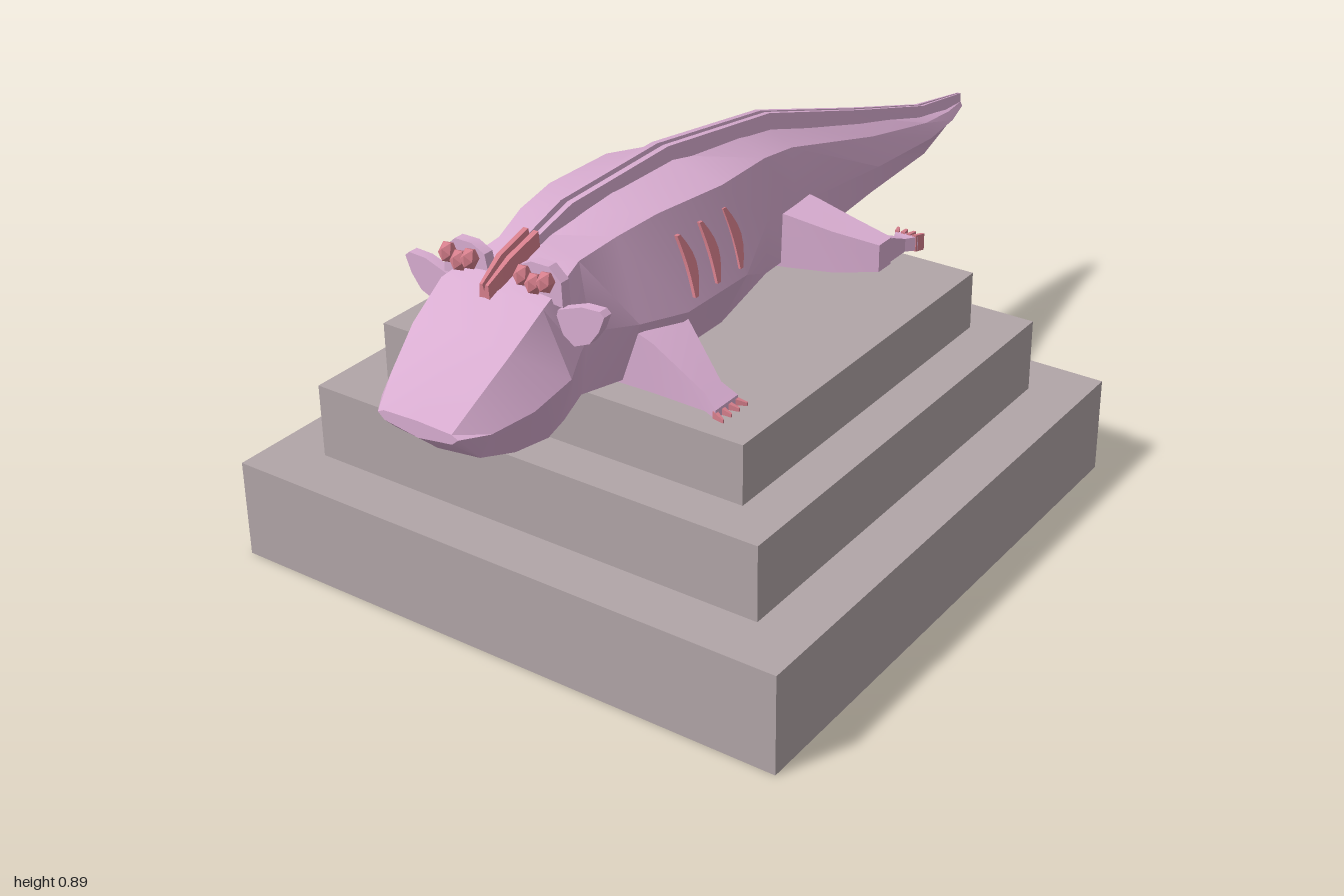
import * as THREE from 'three';
import { toCreasedNormals } from 'three/addons/utils/BufferGeometryUtils.js';

const material = (name, color) => Object.assign(new THREE.MeshStandardMaterial({ color }), { name });

// Closed skin through equal-length rings of [x, y, z] points, always facing outward
function loft(rings, crease = 0.5) {
  const n = rings[0].length;
  const pts = rings.flat().map((p) => new THREE.Vector3(...p));
  const faces = [];
  for (let r = 0; r < rings.length - 1; r++) {
    for (let i = 0; i < n; i++) {
      const a = r * n + i, b = r * n + (i + 1) % n;
      faces.push([a, b, b + n], [a, b + n, a + n]);
    }
  }
  const last = (rings.length - 1) * n;
  [0, last].forEach((start) => {
    const centre = new THREE.Vector3();
    for (let i = 0; i < n; i++) centre.addScaledVector(pts[start + i], 1 / n);
    const c = pts.push(centre) - 1;
    for (let i = 0; i < n; i++) {
      const a = start + i, b = start + (i + 1) % n;
      faces.push(start ? [a, b, c] : [b, a, c]);
    }
  });
  let volume = 0;
  for (const [a, b, c] of faces) volume += pts[a].dot(pts[b].clone().cross(pts[c]));
  const geometry = new THREE.BufferGeometry().setFromPoints(pts);
  geometry.setIndex(faces.flatMap((f) => (volume < 0 ? [f[0], f[2], f[1]] : f)));
  return toCreasedNormals(geometry, crease);
}

// Four-sided rings for limbs
const ringX = (x, y0, y1, z0, z1) => [[x, y0, z0], [x, y1, z0], [x, y1, z1], [x, y0, z1]];
const ringZ = (z, x0, x1, y0, y1) => [[x0, y0, z], [x1, y0, z], [x1, y1, z], [x0, y1, z]];
const mirrorRings = (rings, s) => rings.map((r) => r.map(([x, y, z]) => [x * s, y, z]));

export function createModel() {
  const model = new THREE.Group();
  const stone = material('stone', 0xb1a5a7);
  const pink = material('pink skin', 0xd9add1);
  const red = material('red markings', 0xd67f8c);
  const add = (name, geometry, mat) => {
    const mesh = new THREE.Mesh(geometry, mat);
    mesh.name = name;
    model.add(mesh);
    return mesh;
  };

  // Stepped plinth: half width, bottom, top
  [[0.66, 0, 0.22], [0.54, 0.22, 0.385], [0.44, 0.385, 0.515]].forEach(([w, y0, y1], i) => {
    add(`plinthStep${i + 1}`, new THREE.BoxGeometry(2 * w, y1 - y0, 2 * w), stone)
      .position.set(0, (y0 + y1) / 2, 0.17);
  });

  // Head, trunk and tail: z, top, shoulder x/y, side x/y, belly half width, bottom
  const sections = [
    [1.0, 0.61, 0.08, 0.607, 0.095, 0.6, 0.08, 0.575],
    [0.95, 0.67, 0.1, 0.66, 0.13, 0.6, 0.1, 0.53],
    [0.87, 0.735, 0.115, 0.72, 0.165, 0.62, 0.115, 0.508],
    [0.78, 0.785, 0.12, 0.775, 0.18, 0.65, 0.12, 0.497],
    [0.72, 0.815, 0.11, 0.79, 0.155, 0.67, 0.11, 0.503],
    [0.64, 0.84, 0.095, 0.81, 0.118, 0.67, 0.09, 0.515],
    [0.55, 0.852, 0.115, 0.83, 0.165, 0.66, 0.12, 0.515],
    [0.44, 0.86, 0.13, 0.84, 0.2, 0.65, 0.14, 0.515],
    [0.24, 0.86, 0.142, 0.83, 0.202, 0.65, 0.14, 0.515],
    [0, 0.83, 0.085, 0.79, 0.093, 0.65, 0.09, 0.515],
    [-0.12, 0.81, 0.075, 0.77, 0.088, 0.64, 0.085, 0.515],
    [-0.5, 0.695, 0.05, 0.66, 0.068, 0.59, 0.05, 0.51],
    [-0.78, 0.61, 0.032, 0.595, 0.048, 0.56, 0.03, 0.504],
    [-0.92, 0.58, 0.016, 0.575, 0.028, 0.555, 0.015, 0.53],
    [-1, 0.575, 0.005, 0.572, 0.01, 0.562, 0.005, 0.55],
  ];
  add('body', loft(sections.map(([z, top, sx, sy, wx, wy, bx, bot]) => [
    [0, top, z], [sx, sy, z], [wx, wy, z], [bx, bot + 0.012, z],
    [0, bot, z], [-bx, bot + 0.012, z], [-wx, wy, z], [-sx, sy, z],
  ])), pink);

  // Twin-edged crest along the back: z, base, top, half width
  const crest = (rows) => loft(rows.map(([z, y0, y1, w]) => [
    [-w * 1.3, y0, z], [-w, y1, z], [-w * 0.35, y1, z], [0, y0 + (y1 - y0) * 0.5, z],
    [w * 0.35, y1, z], [w, y1, z], [w * 1.3, y0, z],
  ]), 0.3);
  add('backCrest', crest([
    [0.7, 0.79, 0.835, 0.015], [0.56, 0.82, 0.878, 0.02], [0.25, 0.83, 0.887, 0.02],
    [-0.12, 0.78, 0.835, 0.018], [-0.5, 0.665, 0.716, 0.014], [-0.8, 0.58, 0.627, 0.01],
    [-1, 0.56, 0.594, 0.004],
  ]), pink);
  add('crestFront', crest([
    [0.8, 0.765, 0.8, 0.01], [0.74, 0.78, 0.835, 0.017], [0.66, 0.79, 0.858, 0.018],
  ]), red);

  for (const s of [1, -1]) {
    const side = s > 0 ? 'left' : 'right';

    // Front leg and toes
    add(`${side}FrontLeg`, loft(mirrorRings([
      ringX(0.1, 0.52, 0.66, 0.42, 0.55), ringX(0.19, 0.518, 0.625, 0.425, 0.545),
      ringX(0.31, 0.516, 0.555, 0.49, 0.545), ringX(0.345, 0.516, 0.535, 0.485, 0.56),
    ], s)), pink);
    for (let i = 0; i < 4; i++) {
      const z = 0.491 + i * 0.021;
      add(`${side}FrontToe${i + 1}`, loft(mirrorRings([
        ringX(0.338, 0.516, 0.531, z - 0.006, z + 0.006),
        ringX(0.365, 0.516, 0.523, z - 0.002 + (i - 1.5) * 0.006, z + 0.002 + (i - 1.5) * 0.006),
      ], s)), red);
    }

    // Hind thigh, shin and toes
    add(`${side}HindThigh`, loft(mirrorRings([
      ringX(0.04, 0.518, 0.65, -0.18, -0.05), ringX(0.1, 0.518, 0.64, -0.18, -0.065),
      ringX(0.2, 0.525, 0.62, -0.172, -0.085), ringX(0.298, 0.54, 0.602, -0.165, -0.115),
    ], s)), pink);
    add(`${side}HindShin`, loft(mirrorRings([
      ringZ(-0.13, 0.25, 0.298, 0.545, 0.602), ringZ(-0.17, 0.262, 0.298, 0.545, 0.598),
      ringZ(-0.23, 0.267, 0.295, 0.542, 0.572), ringZ(-0.255, 0.257, 0.312, 0.54, 0.572),
    ], s)), pink);
    for (let i = 0; i < 4; i++) {
      const x = 0.263 + i * 0.014, tip = x + (i - 1.5) * 0.006;
      add(`${side}HindToe${i + 1}`, loft(mirrorRings([
        ringZ(-0.25, x - 0.005, x + 0.005, 0.538, 0.576),
        ringZ(-0.273, tip - 0.003, tip + 0.003, 0.536, 0.574),
      ], s)), red);
    }

    // Side gill shaped like an ear
    const outline = [[0.12, 0.73], [0.165, 0.7], [0.2, 0.715], [0.222, 0.745],
      [0.235, 0.778], [0.225, 0.787], [0.185, 0.785], [0.13, 0.765]];
    add(`${side}Ear`, loft([0.728, 0.75].map((z) => outline.map(([x, y]) => [s * x, y, z]))), pink);

    // Upper gills with red tufts
    const frill = [[0.03, 0.78], [0.04, 0.83], [0.07, 0.845], [0.11, 0.845], [0.138, 0.82], [0.14, 0.77]];
    add(`${side}Frill`, loft([0.725, 0.748].map((z) => frill.map(([x, y]) => [s * x, y, z]))), pink);
    [0.062, 0.088, 0.115].forEach((x, i) => {
      const tuft = add(`${side}Tuft${i + 1}`, new THREE.IcosahedronGeometry(1, 0), red);
      tuft.scale.set(0.017, 0.023, 0.02);
      tuft.position.set(s * x, i === 1 ? 0.812 : 0.822, 0.764);
    });

    // Three curved flank stripes
    [0.41, 0.335, 0.255].forEach((z0, k) => {
      const rows = [];
      for (let i = 0; i <= 6; i++) {
        const t = i / 6, y = 0.67 + 0.12 * t, bow = Math.sin(Math.PI * t);
        const x = 0.203 - ((y - 0.65) / 0.18) * 0.063, z = z0 - 0.014 * bow, w = 0.005 + 0.009 * bow;
        rows.push([[x - 0.004, y, z - w], [x + 0.004, y, z - w], [x + 0.004, y, z + w], [x - 0.004, y, z + w]]);
      }
      add(`${side}FlankStripe${k + 1}`, loft(mirrorRings(rows, s)), red);
    });
  }
  return model;
}
